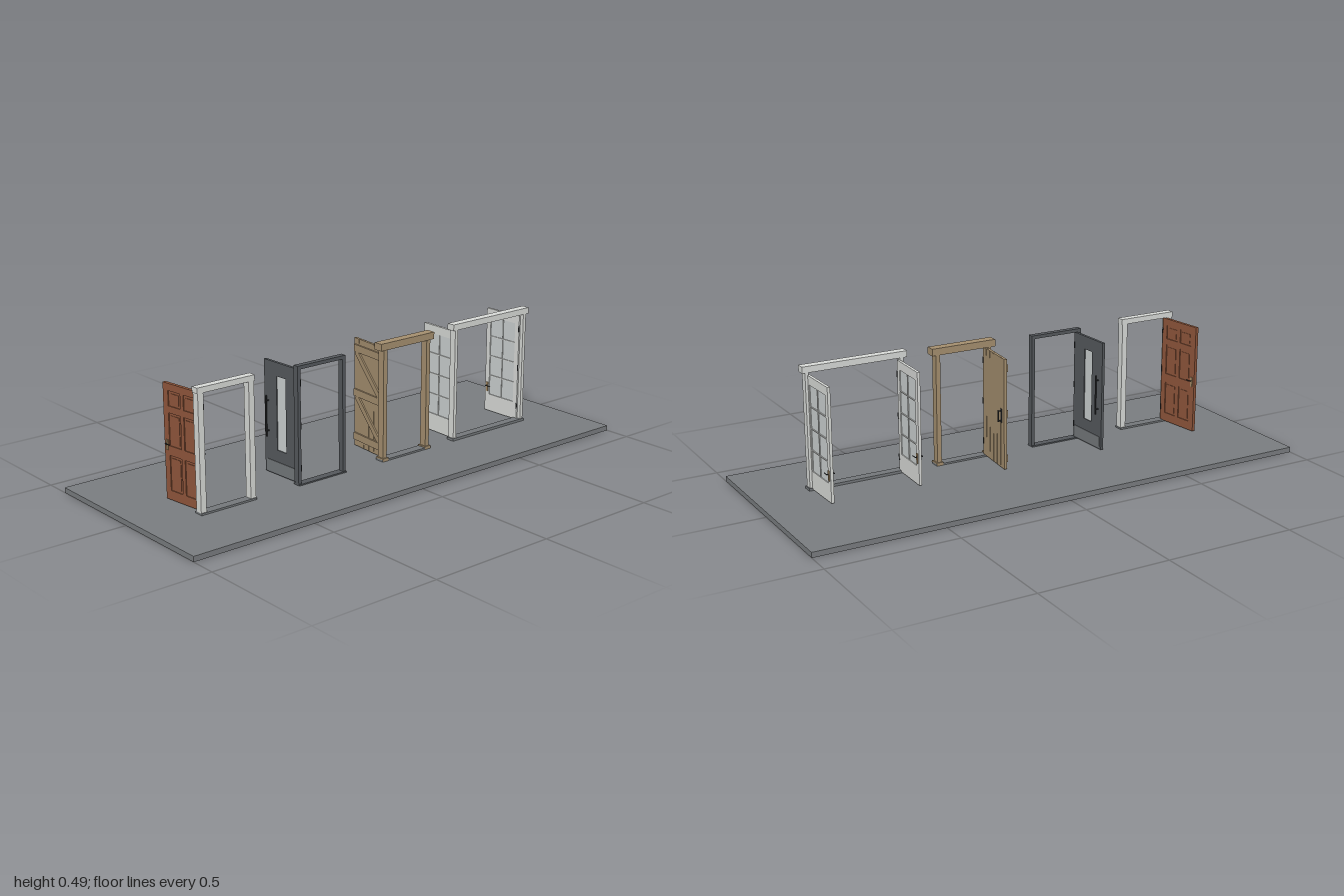
import * as THREE from 'three';

const mat = (name, color, extra = {}) => Object.assign(new THREE.MeshStandardMaterial({ color, ...extra }), { name });

export function createModel() {
  const M = {
    floor: mat('floor grey', 0x7a7d80),
    white: mat('white paint', 0xd9dbd8),
    brown: mat('red brown wood', 0x8f563b),
    dark: mat('dark grey metal', 0x55595d),
    wood: mat('pale oak', 0xa58f6f),
    glass: mat('pale glass', 0xccd1d1),
    black: mat('black metal', 0x303234),
    brass: mat('brass', 0xa98d66),
    sill: mat('sill grey', 0x74787b),
  };
  const root = new THREE.Group();
  root.name = 'doorDisplay';

  // Box given by its minimum and maximum along each axis
  function box(parent, name, m, x0, x1, y0, y1, z0, z1) {
    const mesh = new THREE.Mesh(new THREE.BoxGeometry(x1 - x0, y1 - y0, z1 - z0), m);
    mesh.position.set((x0 + x1) / 2, (y0 + y1) / 2, (z0 + z1) / 2);
    mesh.name = name;
    parent.add(mesh);
    return mesh;
  }

  // Rod between two points
  function rod(parent, name, m, a, b, r) {
    const p = new THREE.Vector3(...a), q = new THREE.Vector3(...b);
    const mesh = new THREE.Mesh(new THREE.CylinderGeometry(r, r, p.distanceTo(q), 12), m);
    mesh.position.copy(p).add(q).multiplyScalar(0.5);
    mesh.quaternion.setFromUnitVectors(new THREE.Vector3(0, 1, 0), q.sub(p).normalize());
    mesh.name = name;
    parent.add(mesh);
  }

  // Flat panel with rectangular openings, each [x0, x1, y0, y1]
  function panel(parent, name, m, w, y0, y1, t, holes) {
    const loop = (a, b, c, d) => [[a, c], [b, c], [b, d], [a, d]].map(p => new THREE.Vector2(...p));
    const s = new THREE.Shape(loop(0, w, y0, y1));
    for (const h of holes) s.holes.push(new THREE.Path(loop(...h).reverse()));
    const mesh = new THREE.Mesh(new THREE.ExtrudeGeometry(s, { depth: t, bevelEnabled: false }), m);
    mesh.position.z = -t / 2;
    mesh.name = name;
    parent.add(mesh);
  }

  // Jambs, head and sill of one doorway
  function frame(name, m, sillMat, o) {
    const g = new THREE.Group();
    g.name = name;
    box(g, 'leftJamb', m, o.x0, o.x0 + o.jamb, 0.02, o.head, o.z0, o.z1);
    box(g, 'rightJamb', m, o.x1 - o.jamb, o.x1, 0.02, o.head, o.z0, o.z1);
    const e = o.over;
    box(g, 'head', m, o.x0 - e, o.x1 + e, o.head, o.top, o.z0 - e / 4, o.z1 + e / 4);
    box(g, 'sill', sillMat, o.x0 - e / 3, o.x1 + e / 3, 0.02, o.sill, o.z0 - 0.004, o.z1 + 0.004);
    root.add(g);
    return g;
  }

  // Swinging leaf: local x runs from the hinge, local z is the thickness
  function leaf(name, x, degrees, z = 0.12) {
    const g = new THREE.Group();
    g.name = name;
    g.position.set(x, 0, z);
    g.rotation.y = THREE.MathUtils.degToRad(degrees);
    root.add(g);
    return g;
  }

  // Lever handle with back plate on both faces
  function lever(g, x, y, t) {
    for (const s of [-1, 1]) {
      const z = s * (t / 2 + 0.0015);
      box(g, 'handlePlate', M.brass, x - 0.005, x + 0.005, y - 0.024, y + 0.014, z - 0.0015, z + 0.0015);
      rod(g, 'handleStem', M.black, [x, y, z], [x, y, s * (t / 2 + 0.009)], 0.002);
      rod(g, 'handleLever', M.black, [x + 0.002, y, s * (t / 2 + 0.009)], [x - 0.021, y, s * (t / 2 + 0.009)], 0.0018);
    }
  }

  // Hinges along the pivot edge
  function hinges(g, t, side = 1) {
    for (const y of [0.08, 0.24, 0.4])
      rod(g, 'hinge', M.black, [0.001, y - 0.012, side * t / 2], [0.001, y + 0.012, side * t / 2], 0.0025);
  }

  box(root, 'floorSlab', M.floor, -1, 1, 0, 0.02, -0.4, 0.4);

  // Panelled door
  frame('panelDoorFrame', M.white, M.sill, { x0: -0.781, x1: -0.547, jamb: 0.023, head: 0.454, top: 0.475, z0: 0.104, z1: 0.132, over: 0.003, sill: 0.027 });
  const a = leaf('panelDoor', -0.757, 97);
  const cells = [];
  for (const [x0, x1] of [[0.025, 0.087], [0.103, 0.165]])
    for (const [y0, y1] of [[0.06, 0.19], [0.225, 0.345], [0.37, 0.425]]) cells.push([x0, x1, y0, y1]);
  panel(a, 'panelDoorRails', M.brown, 0.19, 0.025, 0.451, 0.013, cells);
  for (const [x0, x1, y0, y1] of cells) {
    box(a, 'recessedPanel', M.brown, x0, x1, y0, y1, -0.003, 0.003);
    box(a, 'raisedPanel', M.brown, x0 + 0.009, x1 - 0.009, y0 + 0.009, y1 - 0.009, -0.005, 0.005);
  }
  lever(a, 0.176, 0.232, 0.013);
  hinges(a, 0.013);

  // Metal door with a narrow window
  frame('metalDoorFrame', M.dark, M.dark, { x0: -0.354, x1: -0.135, jamb: 0.013, head: 0.453, top: 0.466, z0: 0.105, z1: 0.128, over: 0, sill: 0.025 });
  const b = leaf('metalDoor', -0.34, 92);
  const slot = [0.07, 0.12, 0.12, 0.4];
  panel(b, 'metalDoorSheet', M.dark, 0.188, 0.025, 0.451, 0.011, [slot]);
  box(b, 'narrowWindow', M.glass, ...slot, -0.002, 0.002);
  for (const s of [-1, 1]) {
    const z = s * 0.0065, out = s * 0.018;
    box(b, 'kickPlate', M.sill, 0.01, 0.178, 0.03, 0.075, z - 0.001, z + 0.001);
    rod(b, 'pullBar', M.black, [0.165, 0.165, out], [0.165, 0.32, out], 0.003);
    for (const y of [0.185, 0.3]) rod(b, 'pullBarMount', M.black, [0.165, y, 0], [0.165, y, out], 0.0025);
  }
  hinges(b, 0.011);

  // Plank door with heavy timber frame
  const cf = frame('plankDoorFrame', M.wood, M.sill, { x0: 0.043, x1: 0.275, jamb: 0.018, head: 0.451, top: 0.478, z0: 0.105, z1: 0.134, over: 0.016, sill: 0.027 });
  for (const x of [0.052, 0.266]) box(cf, 'plinthBlock', M.wood, x - 0.014, x + 0.014, 0.02, 0.032, 0.1, 0.139);
  const c = leaf('plankDoor', 0.064, 85);
  const w = 0.19, n = 6;
  box(c, 'plankCore', M.wood, 0.001, w - 0.001, 0.027, 0.451, -0.004, 0.004);
  for (let i = 0; i < n; i++)
    box(c, 'plank', M.wood, i * w / n + 0.0006, (i + 1) * w / n - 0.0006, 0.026, 0.452, -0.0055, 0.0055);
  const bars = [0.065, 0.24, 0.415];
  for (const y of bars) box(c, 'batten', M.wood, 0.006, w - 0.006, y - 0.014, y + 0.014, -0.012, -0.005);
  // Diagonal braces between the battens
  for (let i = 0; i < 2; i++) {
    const y0 = bars[i] + 0.014, y1 = bars[i + 1] - 0.014;
    const len = Math.hypot(w - 0.04, y1 - y0);
    const brace = box(c, 'brace', M.wood, 0, len, 0, 0.022, -0.0115, -0.005);
    brace.position.set(w / 2, (y0 + y1) / 2, -0.00825);
    brace.rotation.z = Math.atan2(y1 - y0, w - 0.04);
  }
  box(c, 'pullPlate', M.black, 0.16, 0.172, 0.203, 0.257, 0.0055, 0.0075);
  rod(c, 'pullHandle', M.black, [0.166, 0.208, 0.019], [0.166, 0.252, 0.019], 0.003);
  for (const y of [0.211, 0.249]) rod(c, 'pullMount', M.black, [0.166, y, 0.005], [0.166, y, 0.019], 0.0025);
  hinges(c, 0.011);

  // Glazed double doors
  frame('doubleDoorFrame', M.white, M.sill, { x0: 0.404, x1: 0.789, jamb: 0.014, head: 0.463, top: 0.487, z0: 0.108, z1: 0.135, over: 0.012, sill: 0.03 });
  const panes = [];
  for (const x of [0.021, 0.0885])
    for (let r = 0; r < 4; r++) panes.push([x, x + 0.065, 0.095 + r * 0.0822, 0.095 + r * 0.0822 + 0.0785]);
  [[0.42, 88, 'leftGlazedDoor'], [0.774, 91, 'rightGlazedDoor']].forEach(([x, deg, name], i) => {
    const d = leaf(name, x, deg);
    panel(d, 'glazedDoorRails', M.white, 0.175, 0.025, 0.453, 0.011, panes);
    box(d, 'glazing', M.glass, 0.018, 0.157, 0.09, 0.425, -0.002, 0.002);
    lever(d, 0.163, 0.131, 0.011);
    hinges(d, 0.011, i ? -1 : 1);
  });

  return root;
}
